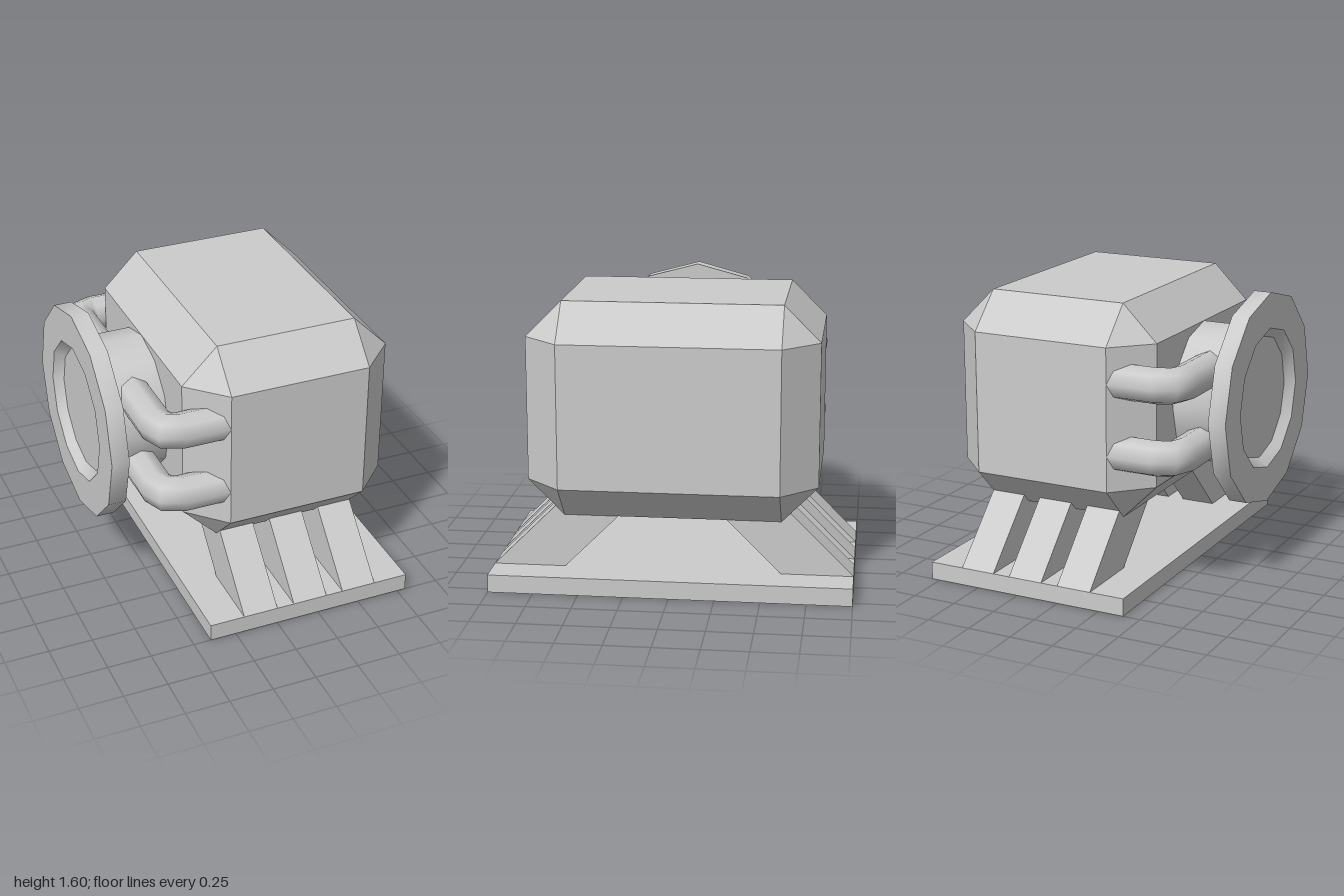
import * as THREE from 'three';
import { ConvexGeometry } from 'three/addons/geometries/ConvexGeometry.js';
import { toCreasedNormals } from 'three/addons/utils/BufferGeometryUtils.js';

const material = new THREE.MeshStandardMaterial({ color: 0xcccccc });

function add(parent, name, geometry) {
  const mesh = new THREE.Mesh(geometry, material);
  mesh.name = name;
  parent.add(mesh);
  return mesh;
}

// Box with every edge and corner cut off at 45 degrees
function chamferedBox(hx, hy, hz, cut) {
  const points = [];
  for (const sx of [-1, 1]) for (const sy of [-1, 1]) for (const sz of [-1, 1]) {
    points.push(
      new THREE.Vector3(sx * hx, sy * (hy - cut), sz * (hz - cut)),
      new THREE.Vector3(sx * (hx - cut), sy * hy, sz * (hz - cut)),
      new THREE.Vector3(sx * (hx - cut), sy * (hy - cut), sz * hz));
  }
  return new ConvexGeometry(points);
}

// Round pipe with one right-angle bend, swept through five rings
function bentPipe(y) {
  const sides = 8, tube = 0.1, bend = 0.1;
  const rings = [[0, 0.25, 0], [0, 0, 0], [Math.PI / 4, 0, 0], [Math.PI / 2, 0, 0], [Math.PI / 2, 0, -0.4]];
  const positions = [], normals = [], index = [];
  rings.forEach(([a, dx, dz], i) => {
    const rx = -Math.sin(a), rz = Math.cos(a);
    for (let j = 0; j <= sides; j++) {
      const t = (j / sides) * Math.PI * 2, c = Math.cos(t), s = Math.sin(t);
      positions.push(-0.45 + dx + rx * (bend + tube * c), y + tube * s, 0.6 + dz + rz * (bend + tube * c));
      normals.push(rx * c, s, rz * c);
      if (i < rings.length - 1 && j < sides) {
        const p = i * (sides + 1) + j, q = p + sides + 1;
        index.push(p, p + 1, q, p + 1, q + 1, q);
      }
    }
  });
  const geometry = new THREE.BufferGeometry();
  geometry.setAttribute('position', new THREE.Float32BufferAttribute(positions, 3));
  geometry.setAttribute('normal', new THREE.Float32BufferAttribute(normals, 3));
  geometry.setIndex(index);
  return geometry;
}

// Slanted strut, 0.2 wide, from the base up into the body
function strut(x, side) {
  const outline = [[1, 0.1], [0.6, 0.1], [0.2, 0.5], [0.6, 0.5]];
  const shape = new THREE.Shape(outline.map(([z, y]) => new THREE.Vector2(-side * z, y)));
  const geometry = new THREE.ExtrudeGeometry(shape, { depth: 0.2, bevelEnabled: false });
  return geometry.rotateY(Math.PI / 2).translate(x, 0, 0);
}

export function createModel() {
  const model = new THREE.Group();
  model.name = 'machine';

  add(model, 'basePlate', new THREE.BoxGeometry(1.2, 0.1, 2).translate(0.2, 0.05, 0));
  add(model, 'body', chamferedBox(0.6, 0.6, 0.8, 0.2).translate(0.2, 1, 0));

  // Three struts at the front and three at the back
  for (const side of [1, -1]) {
    for (const x of [-0.2, 0.1, 0.4]) add(model, side > 0 ? 'frontStrut' : 'backStrut', strut(x, side));
  }

  // Main pipe with its flange and recessed end, along -x
  const profile = [[0.4, 0.35], [0.4, 0.7], [0.6, 0.7], [0.6, 0.8], [0.4, 0.8], [0.35, 0.75], [0, 0.75]]
    .map(([r, h]) => new THREE.Vector2(r, h));
  const port = new THREE.LatheGeometry(profile, 12).rotateZ(Math.PI / 2).translate(0, 1, 0);
  add(model, 'flangedPort', toCreasedNormals(port, 0.6));

  // Two bent pipes per side; the back pair is the front pair turned half round the port axis
  for (const side of ['front', 'back']) {
    const pair = new THREE.Group();
    pair.name = side + 'Pipes';
    pair.position.y = 1;
    if (side === 'back') pair.rotation.x = Math.PI;
    for (const y of [0.2, -0.2]) add(pair, side + 'Pipe', bentPipe(y));
    model.add(pair);
  }
  return model;
}
